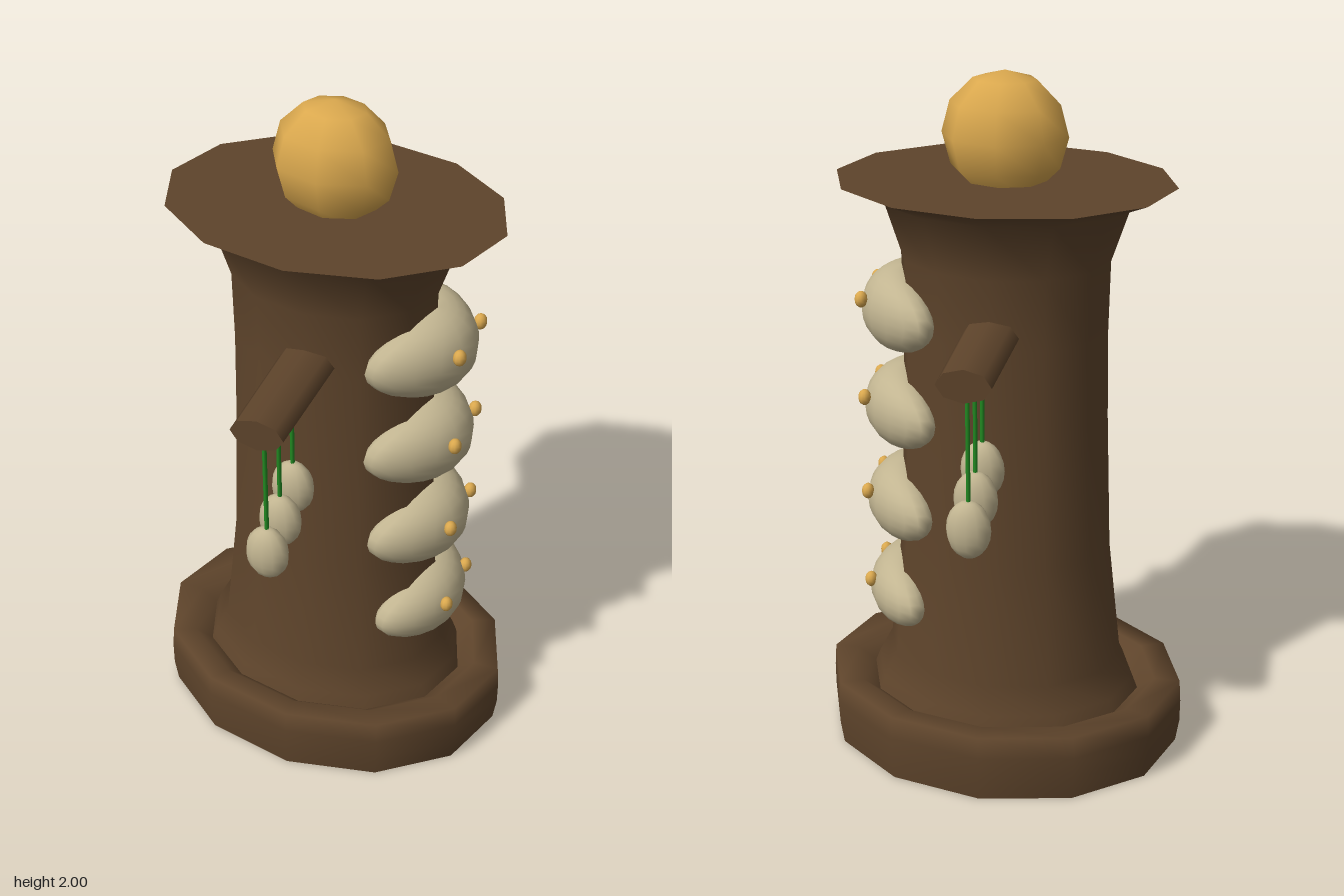
import * as THREE from 'three';

const material = (name, color, side = THREE.FrontSide) => {
  const m = new THREE.MeshStandardMaterial({ color, side });
  m.name = name;
  return m;
};

export function createModel() {
  const brown = material('brown wood', 0x5e442b);
  const gold = material('gold', 0xdaa84e);
  const cream = material('cream', 0xc2b591);
  const green = material('green', 0x228b22);
  const DEPTH = 0.76; // the tower is oval: narrower in z than in x

  const group = new THREE.Group();
  const add = (name, geometry, mat, x = 0, y = 0, z = 0, parent = group) => {
    const mesh = new THREE.Mesh(geometry, mat);
    mesh.name = name;
    mesh.position.set(x, y, z);
    parent.add(mesh);
    return mesh;
  };
  const ellipsoid = (rx, ry, rz, w, h) => new THREE.SphereGeometry(1, w, h).scale(rx, ry, rz);
  const turned = (name, profile) => {
    const points = profile.map(([r, y]) => new THREE.Vector2(r, y));
    add(name, new THREE.LatheGeometry(points, 12).scale(1, 1, DEPTH), brown);
  };

  // Oval plinth with a shallow groove around the column
  turned('plinthUnderside', [[0, 0], [0.52, 0]]);
  turned('plinth', [[0.52, 0], [0.53, 0.07], [0.53, 0.14], [0.525, 0.208], [0.45, 0.208], [0.4, 0.17]]);

  // Flared column with a flat, sharp-edged top
  turned('column', [[0.4, 0.17], [0.385, 0.21], [0.345, 0.29], [0.305, 0.65], [0.29, 1.05],
    [0.285, 1.3], [0.288, 1.5], [0.34, 1.66], [0.46, 1.71]]);
  turned('columnTop', [[0.46, 1.71], [0, 1.71]]);

  // Finial ball
  add('finial', ellipsoid(0.17, 0.17, 0.13, 8, 6), gold, 0, 1.83, 0);

  // Front and back arms, each with three pods on strings
  for (const side of [1, -1]) {
    const arm = new THREE.Group();
    arm.name = side > 0 ? 'frontArm' : 'backArm';
    group.add(arm);

    const beam = new THREE.CylinderGeometry(0.072, 0.08, 0.535, 8)
      .rotateX(side * Math.PI / 2).scale(1, 0.63, 1);
    add('beam', beam, brown, 0, 1.34, side * 0.2675, arm);

    for (const [z, y] of [[0.49, 0.92], [0.4, 0.96], [0.31, 1.005]]) {
      const length = 1.32 - y;
      add('string', new THREE.CylinderGeometry(0.006, 0.006, length, 6), green,
        0, y + length / 2, side * z, arm);
      add('pod', ellipsoid(0.06, 0.083, 0.041, 12, 10), cream, 0, y, side * z, arm);
    }
  }

  // Ellipsoid whose ends sweep back around the column
  const bentBody = (rx, ry, bend) => {
    const geometry = ellipsoid(rx, ry, 0.22, 20, 14);
    const p = geometry.attributes.position;
    for (let i = 0; i < p.count; i++) {
      const t = p.getZ(i) / 0.22;
      p.setX(i, p.getX(i) - bend * t * t);
      p.setY(i, p.getY(i) + 0.012 * t * t);
    }
    geometry.computeVertexNormals();
    return geometry;
  };

  // Stack of four eyed bodies on the +x side
  const stack = [[1.337, 0.118, 0.112, 0.1], [1.047, 0.117, 0.112, 0.1],
    [0.755, 0.115, 0.108, 0.09], [0.467, 0.107, 0.1, 0.07]];
  for (const [y, ry, rx, bend] of stack) {
    const creature = new THREE.Group();
    creature.name = 'eyedBody';
    group.add(creature);
    add('body', bentBody(rx, ry, bend), cream, 0.4 - rx, y, 0, creature);
    for (const side of [1, -1]) {
      add('eye', ellipsoid(0.018, 0.023, 0.02, 10, 8), gold, 0.38, y + 0.04, side * 0.09, creature);
    }
  }

  return group;
}
